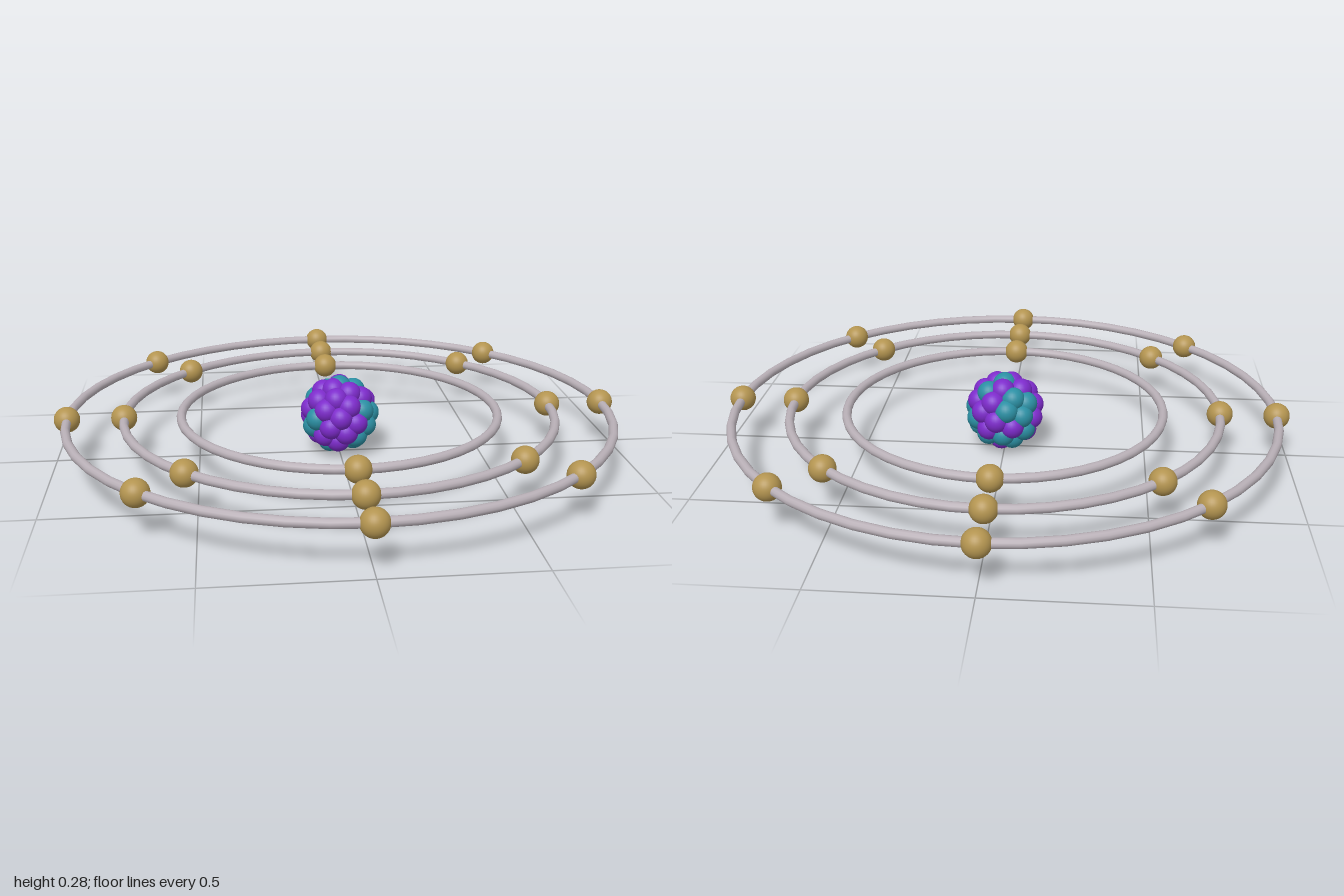
import * as THREE from 'three';

const RING_Y = 0.152, ELECTRON_R = 0.045, TUBE_R = 0.016;
const NUCLEUS_Y = 0.141, NUCLEUS_R = 0.099, NUCLEON_R = 0.042;

export function createModel() {
  const model = new THREE.Group();
  const mat = (color) => new THREE.MeshStandardMaterial({ color });
  const ringMat = mat(0xb9b0b7), electronMat = mat(0xb39450);
  const protonMat = mat(0x7d2bcb), neutronMat = mat(0x2b8fa3);

  const add = (parent, name, geometry, material, x = 0, y = 0, z = 0) => {
    const mesh = new THREE.Mesh(geometry, material);
    mesh.name = name;
    mesh.position.set(x, y, z);
    parent.add(mesh);
    return mesh;
  };

  // Small seeded generator for the mix of protons and neutrons
  let seed = 11;
  const random = () => (seed = (seed * 16807) % 2147483647) / 2147483647;

  // Nucleus: balls spread evenly over a sphere, plus a hidden core
  const nucleus = new THREE.Group();
  nucleus.name = 'nucleus';
  nucleus.position.y = NUCLEUS_Y;
  model.add(nucleus);
  const ball = new THREE.SphereGeometry(NUCLEON_R, 24, 16);
  const count = 46;
  for (let i = 0; i < count; i++) {
    const h = 1 - (2 * i) / (count - 1);
    const flat = Math.sqrt(Math.max(0, 1 - h * h));
    const a = i * Math.PI * (3 - Math.sqrt(5));
    const proton = i > 0 && i < count - 1 && random() < 0.5;
    add(nucleus, proton ? 'proton' : 'neutron', ball, proton ? protonMat : neutronMat,
      NUCLEUS_R * flat * Math.cos(a), NUCLEUS_R * h, NUCLEUS_R * flat * Math.sin(a));
  }
  add(nucleus, 'nucleusCore', new THREE.SphereGeometry(0.09, 24, 16), neutronMat);

  // Shells: a thin flat ring with its evenly spaced electrons, first one at the back
  const electron = new THREE.SphereGeometry(ELECTRON_R, 32, 20);
  const shells = [
    { name: 'innerShell', radius: 0.56, electrons: 2 },
    { name: 'middleShell', radius: 0.758, electrons: 8 },
    { name: 'outerShell', radius: 0.955, electrons: 8 },
  ];
  for (const { name, radius, electrons } of shells) {
    const shell = new THREE.Group();
    shell.name = name;
    shell.position.y = RING_Y;
    model.add(shell);
    const ring = new THREE.TorusGeometry(radius, TUBE_R, 12, 48).rotateX(Math.PI / 2);
    add(shell, 'orbitRing', ring, ringMat);
    for (let i = 0; i < electrons; i++) {
      const a = (i / electrons) * Math.PI * 2;
      add(shell, 'electron', electron, electronMat, radius * Math.sin(a), 0, -radius * Math.cos(a));
    }
  }
  return model;
}
